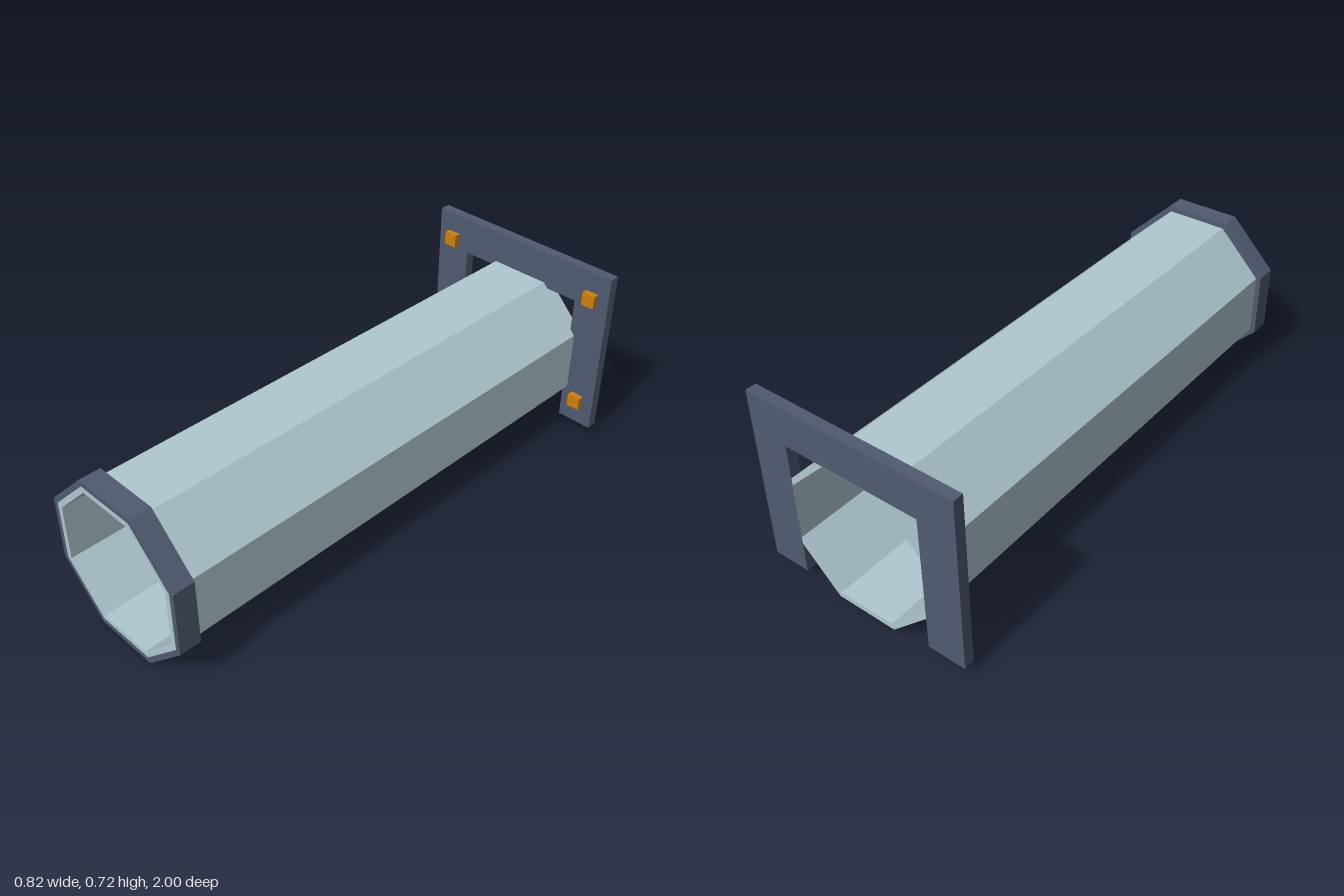
import * as THREE from 'three';

const tubeColour = new THREE.MeshStandardMaterial({ color: 0xb0c8d0 });
const frameColour = new THREE.MeshStandardMaterial({ color: 0x505a70 });
const boltColour = new THREE.MeshStandardMaterial({ color: 0xd08010 });
tubeColour.name = 'paleBlueGrey';
frameColour.name = 'darkSlate';
boltColour.name = 'amber';

const AXIS_Y = 0.305;

// Corners of an octagon with flat top and sides, given its flat-to-centre distance
function octagon(apothem) {
  const r = apothem / Math.cos(Math.PI / 8);
  return Array.from({ length: 8 }, (_, i) => {
    const a = (i + 0.5) * Math.PI / 4;
    return new THREE.Vector2(r * Math.cos(a), r * Math.sin(a));
  });
}

function extrude(name, shape, z0, z1, material) {
  const geometry = new THREE.ExtrudeGeometry(shape, { depth: z1 - z0, bevelEnabled: false });
  const mesh = new THREE.Mesh(geometry, material);
  mesh.name = name;
  mesh.position.z = z0;
  return mesh;
}

function octagonalRing(name, outer, inner, z0, z1, material) {
  const shape = new THREE.Shape(octagon(outer));
  shape.holes.push(new THREE.Path(octagon(inner)));
  const mesh = extrude(name, shape, z0, z1, material);
  mesh.position.y = AXIS_Y;
  return mesh;
}

export function createModel() {
  const model = new THREE.Group();
  model.name = 'octagonalTunnel';

  // Hollow tube and the collar around its front end
  model.add(octagonalRing('tube', 0.285, 0.2645, -0.9995, 1, tubeColour));
  model.add(octagonalRing('frontCollar', 0.305, 0.285, 0.92, 1, frameColour));

  // Upside-down U mounting plate at the back
  const plate = new THREE.Shape([
    [-0.41, 0.045], [-0.265, 0.045], [-0.265, 0.571], [0.265, 0.571],
    [0.265, 0.045], [0.41, 0.045], [0.41, 0.717], [-0.41, 0.717],
  ].map(([x, y]) => new THREE.Vector2(x, y)));
  model.add(extrude('mountingPlate', plate, -1, -0.96, frameColour));

  // Square bolts on the front of the plate
  const boltGeometry = new THREE.BoxGeometry(0.053, 0.052, 0.03);
  for (const x of [-0.337, 0.337]) {
    for (const y of [0.148, 0.611]) {
      const bolt = new THREE.Mesh(boltGeometry, boltColour);
      bolt.name = (y > 0.4 ? 'upper' : 'lower') + (x > 0 ? 'Left' : 'Right') + 'Bolt';
      bolt.position.set(x, y, -0.95);
      model.add(bolt);
    }
  }
  return model;
}
